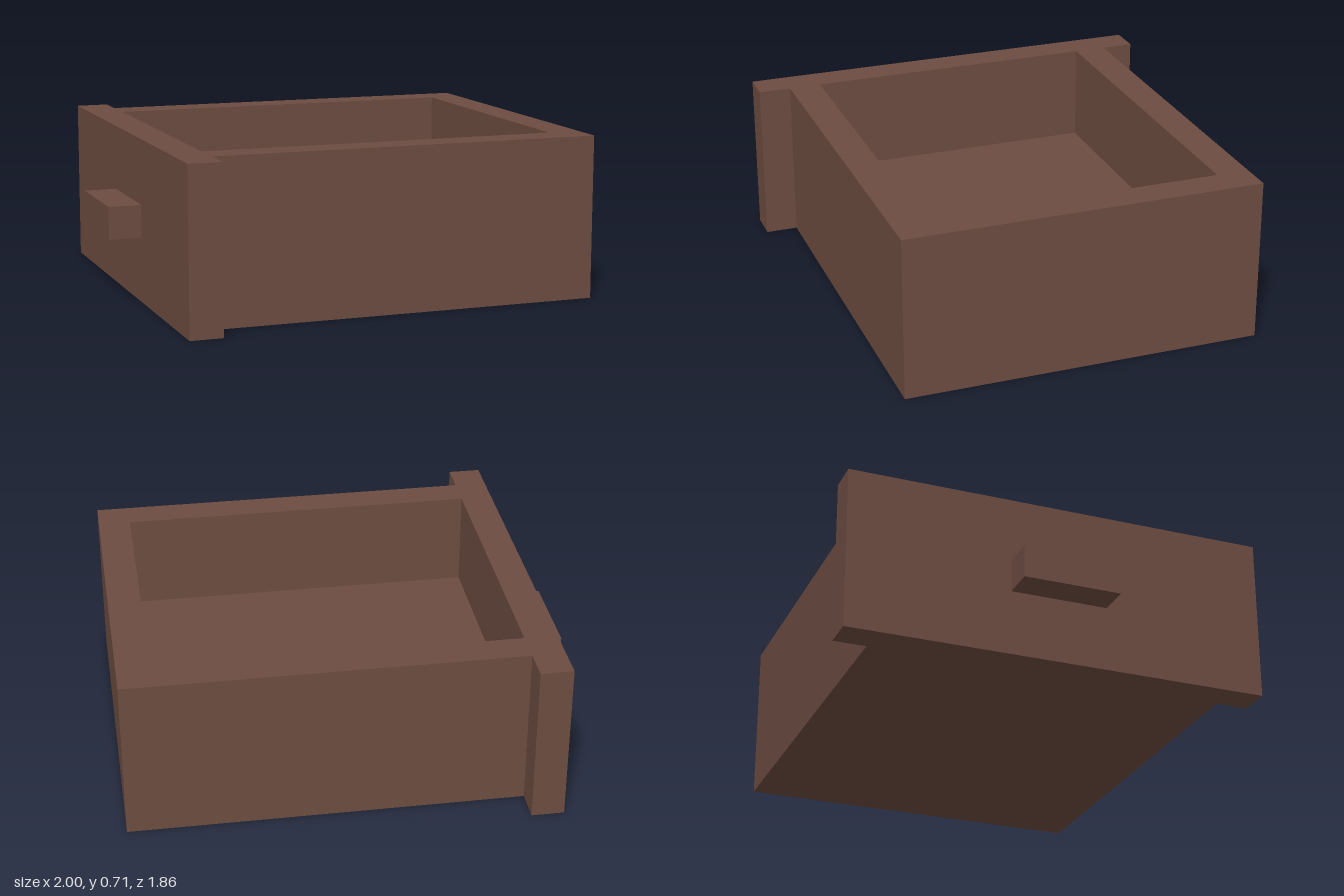
import * as THREE from 'three';

const U = 1 / 7; // board thickness, the module of the whole drawer

export function createModel() {
  const group = new THREE.Group();
  group.name = 'drawer';
  const wood = new THREE.MeshStandardMaterial({ color: 0x6d4c41 });
  wood.name = 'brown wood';

  const add = (name, geometry) => {
    const mesh = new THREE.Mesh(geometry, wood);
    mesh.name = name;
    group.add(mesh);
    return mesh;
  };

  // Box from its min and max corners, in board thicknesses
  const board = (name, [x0, y0, z0], [x1, y1, z1]) =>
    add(name, new THREE.BoxGeometry((x1 - x0) * U, (y1 - y0) * U, (z1 - z0) * U))
      .position.set((x0 + x1) * U / 2, (y0 + y1) * U / 2, (z0 + z1) * U / 2);

  // Sides and back: one U-shaped wall, open towards the front panel
  const plan = [[-5, -5.5], [7, -5.5], [7, 5.5], [-5, 5.5], [-5, 4.5], [6, 4.5], [6, -4.5], [-5, -4.5]];
  const outline = new THREE.Shape(plan.map(([x, z]) => new THREE.Vector2(x * U, z * U)));
  const walls = new THREE.ExtrudeGeometry(outline, { depth: 5 * U, bevelEnabled: false });
  walls.rotateX(-Math.PI / 2);
  add('walls', walls);

  // Thick floor between the walls
  board('floor', [-5, 0, -4.5], [6, 2, 4.5]);

  // Wide face panel overhanging both sides, with its pull
  board('facePanel', [-6, 0, -6.5], [-5, 5, 6.5]);
  board('handle', [-7, 2, -1.5], [-6, 3, 1.5]);

  return group;
}
